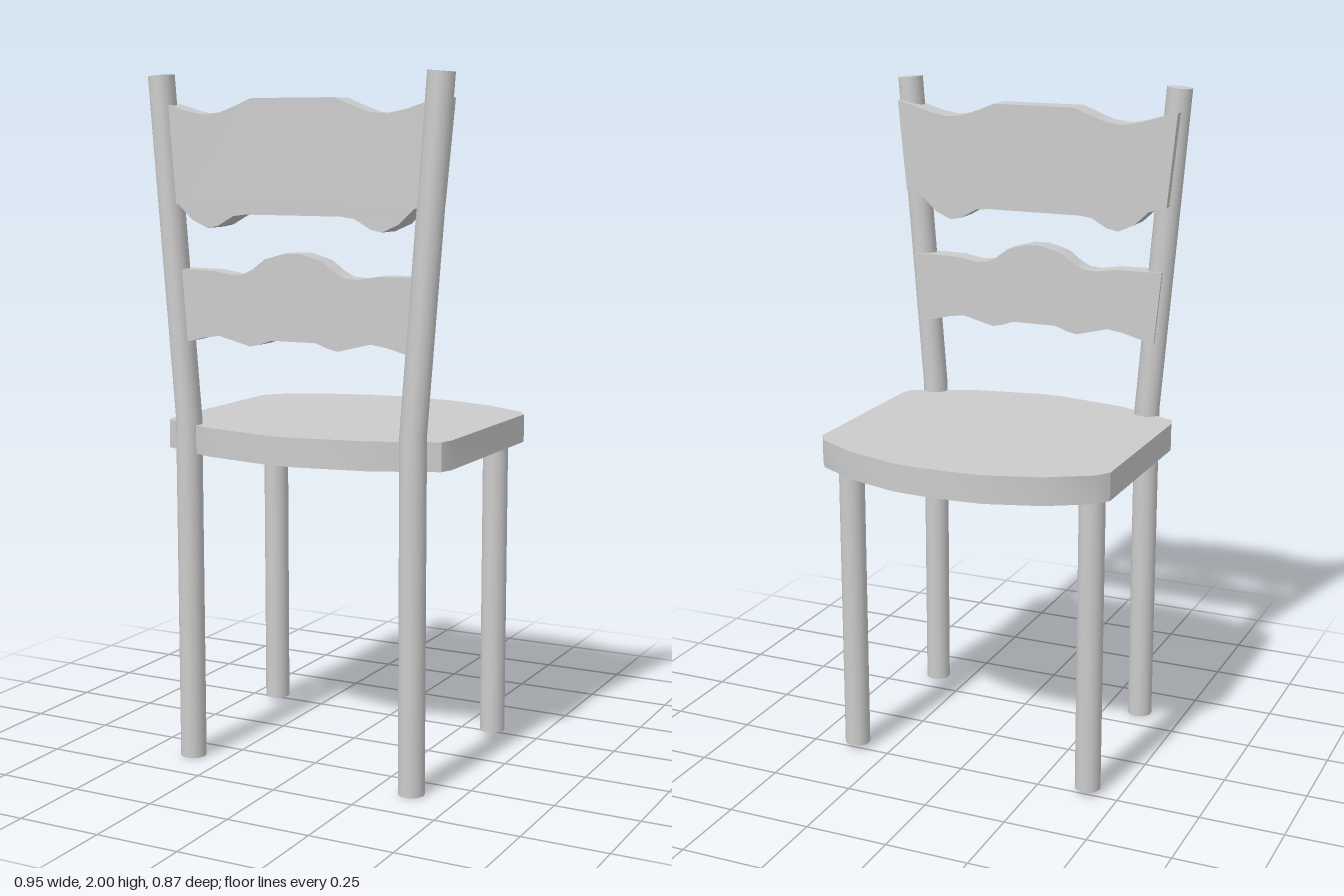
import * as THREE from 'three';
import { toCreasedNormals } from 'three/addons/utils/BufferGeometryUtils.js';

const material = new THREE.MeshStandardMaterial({ color: 0xcccccc });
const RADIUS = 0.038;

function add(group, name, geometry) {
  const mesh = new THREE.Mesh(geometry, material);
  mesh.name = name;
  group.add(mesh);
  return mesh;
}

// Extrudes a closed outline along +z, smooth around the wavy edge
function slab(points, depth) {
  const shape = new THREE.Shape(points.map(([x, y]) => new THREE.Vector2(x, y)));
  const geometry = new THREE.ExtrudeGeometry(shape, { depth, bevelEnabled: false });
  return toCreasedNormals(geometry, 0.5);
}

// Right half of a top edge and a bottom edge, both from centre outward, mirrored
function slat(top, bottom, z0, z1) {
  const half = [...bottom, ...top.slice().reverse()];
  const mirrored = half.map(([x, y]) => [-x, y]).reverse();
  return slab([...half, ...mirrored], z1 - z0).translate(0, 0, z0);
}

// Back post: upright to the seat, then leaning outward
function post(side) {
  const geometry = new THREE.CylinderGeometry(RADIUS, RADIUS, 2, 24, 2);
  const rings = [
    { x: 0.36, y: 0, tilt: 0 },
    { x: 0.36, y: 1.02, tilt: 0.04 },
    { x: 0.437, y: 1.996, tilt: 0.08 },
  ];
  const p = geometry.attributes.position;
  for (let i = 0; i < p.count; i++) {
    const ring = rings[Math.round(p.getY(i)) + 1];
    const dx = p.getX(i);
    p.setXY(i, side * ring.x + dx, ring.y - side * ring.tilt * dx);
  }
  return geometry.translate(0, 0, 0.348);
}

export function createModel() {
  const chair = new THREE.Group();
  chair.name = 'chair';

  // Seat outline as [x, -z]: bowed front and back, straight sides
  const seat = slab([
    [-0.465, 0.26], [-0.465, -0.27], [-0.452, -0.31], [-0.315, -0.37], [-0.265, -0.392],
    [-0.045, -0.432], [0.02, -0.432], [0.235, -0.392], [0.29, -0.37], [0.428, -0.31],
    [0.44, -0.27], [0.44, 0.26], [0.412, 0.303], [0.285, 0.377], [0.127, 0.426],
    [0.03, 0.434], [-0.05, 0.434], [-0.152, 0.426], [-0.31, 0.377], [-0.437, 0.303],
  ], 0.083);
  add(chair, 'seat', seat.rotateX(-Math.PI / 2).translate(0, 0.918, 0));

  // Posts running from floor to top of the back
  add(chair, 'leftPost', post(1));
  add(chair, 'rightPost', post(-1));

  // Short legs under the seat
  for (const [name, x] of [['leftLeg', 0.36], ['rightLeg', -0.402]]) {
    const leg = new THREE.CylinderGeometry(RADIUS, RADIUS, 0.925, 24);
    add(chair, name, leg.translate(x, 0.4775, -0.233));
  }

  // Wavy slats across the back
  add(chair, 'upperSlat', slat(
    [[0.13, 1.93], [0.18, 1.91], [0.23, 1.892], [0.285, 1.886], [0.34, 1.896], [0.4, 1.914], [0.452, 1.927]],
    [[0.15, 1.61], [0.19, 1.605], [0.24, 1.577], [0.275, 1.57], [0.325, 1.592], [0.37, 1.634], [0.425, 1.65]],
    0.288, 0.371));
  add(chair, 'lowerSlat', slat(
    [[0.025, 1.505], [0.09, 1.487], [0.13, 1.457], [0.16, 1.443], [0.2, 1.44], [0.26, 1.45], [0.41, 1.452]],
    [[0.07, 1.26], [0.11, 1.246], [0.14, 1.24], [0.18, 1.25], [0.24, 1.265], [0.29, 1.258], [0.34, 1.245], [0.39, 1.235]],
    0.305, 0.37));

  return chair;
}
